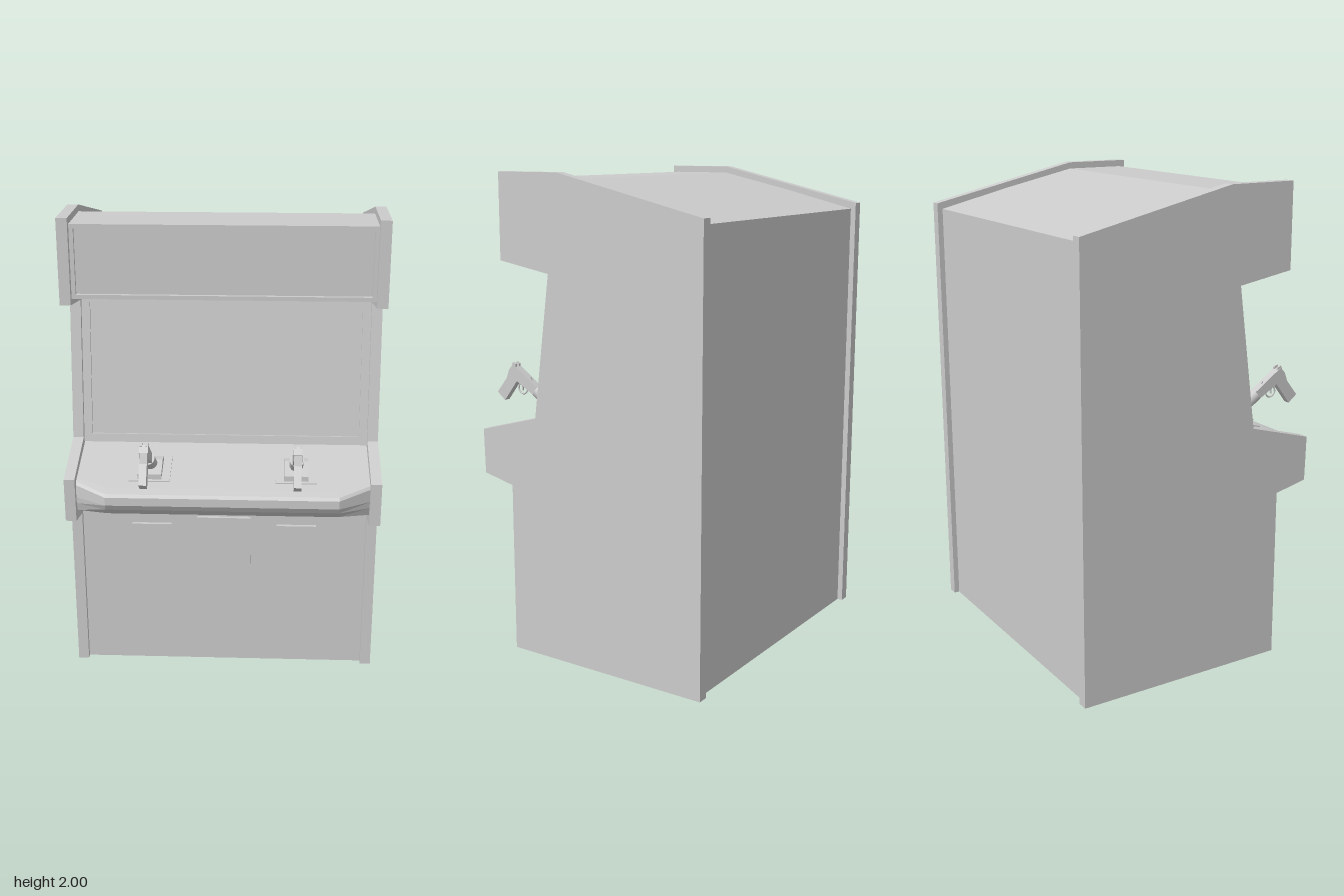
import * as THREE from 'three';

const grey = new THREE.MeshStandardMaterial({ color: 0xcccccc, side: THREE.DoubleSide, flatShading: true });
const smooth = new THREE.MeshStandardMaterial({ color: 0xcccccc });

const named = (name, geometry, material = grey) => {
  const mesh = new THREE.Mesh(geometry, material);
  mesh.name = name;
  return mesh;
};

const polygon = (points) => new THREE.Shape(points.map(([a, b]) => new THREE.Vector2(a, b)));

// Solid with a [z, y] profile, extruded across x and centred on cx
function prism(points, width, cx = 0) {
  const geo = new THREE.ExtrudeGeometry(polygon(points), { depth: width, bevelEnabled: false });
  return geo.translate(0, 0, -width / 2).rotateY(-Math.PI / 2).translate(cx, 0, 0);
}

// Open skin through cross-sections: each section is { x, profile: [[z, y], ...] }
function skin(sections) {
  const pos = [], index = [], n = sections[0].profile.length;
  for (const { x, profile } of sections) for (const [z, y] of profile) pos.push(x, y, z);
  for (let s = 0; s < sections.length - 1; s++) {
    for (let i = 0; i < n - 1; i++) {
      const a = s * n + i, b = a + n;
      index.push(a, a + 1, b, b, a + 1, b + 1);
    }
  }
  const geo = new THREE.BufferGeometry();
  geo.setAttribute('position', new THREE.Float32BufferAttribute(pos, 3));
  geo.setIndex(index);
  geo.computeVertexNormals();
  return geo;
}

// Rectangular border facing +z
function frame(w, h, border, depth) {
  const rect = (x, y) => [[-x, -y], [x, -y], [x, y], [-x, y]];
  const shape = polygon(rect(w / 2, h / 2));
  shape.holes.push(polygon(rect(w / 2 - border, h / 2 - border)));
  return new THREE.ExtrudeGeometry(shape, { depth, bevelEnabled: false });
}

// Light gun with its mount, modelled around x = 0
function createGun() {
  const gun = new THREE.Group();
  gun.name = 'lightGun';
  gun.add(named('mountPlate', prism([[0.39, 0.9], [0.39, 0.925], [0.22, 0.973], [0.22, 0.945]], 0.17)));
  gun.add(named('mountBlock', prism([[0.38, 0.91], [0.38, 0.95], [0.3, 0.985], [0.25, 0.98], [0.25, 0.94]], 0.1)));

  // Holder tube sloping down into the panel
  const from = new THREE.Vector3(0, 1.042, 0.425), to = new THREE.Vector3(0, 0.93, 0.25);
  const tube = named('holderTube', new THREE.CylinderGeometry(0.029, 0.029, from.distanceTo(to), 16), smooth);
  tube.position.copy(from).lerp(to, 0.5);
  tube.quaternion.setFromUnitVectors(new THREE.Vector3(0, 1, 0), from.clone().sub(to).normalize());
  gun.add(tube);

  gun.add(named('slide', prism([[0.55, 1.15], [0.573, 1.125], [0.56, 1.095], [0.43, 1.02], [0.41, 1.055]], 0.036)));
  gun.add(named('grip', prism([[0.575, 1.125], [0.525, 1.085], [0.555, 1.045], [0.603, 0.982], [0.645, 1.015], [0.59, 1.085]], 0.03)));
  const guard = named('triggerGuard', new THREE.TorusGeometry(0.025, 0.004, 6, 16), smooth);
  guard.position.set(0, 1.045, 0.508);
  guard.rotation.y = Math.PI / 2;
  gun.add(guard);
  gun.add(named('trigger', prism([[0.515, 1.07], [0.508, 1.065], [0.507, 1.035], [0.512, 1.035]], 0.008)));
  for (const x of [-0.012, 0.012]) {
    gun.add(named('rearSight', prism([[0.535, 1.13], [0.558, 1.145], [0.55, 1.16], [0.535, 1.152]], 0.01, x)));
  }
  gun.add(named('frontSight', prism([[0.45, 1.075], [0.465, 1.085], [0.462, 1.1]], 0.008)));
  return gun;
}

export function createModel() {
  const model = new THREE.Group();
  model.name = 'arcadeCabinet';

  // Side panels
  const side = [
    [0.28, 0], [0.28, 0.72], [0.425, 0.752], [0.43, 0.94], [0.15, 1.02], [0.07, 1.61],
    [0.312, 1.65], [0.312, 2], [0.02, 2], [-0.643, 1.85], [-0.643, 0],
  ];
  for (const s of [-1, 1]) {
    model.add(named(s > 0 ? 'leftSidePanel' : 'rightSidePanel', prism(side, 0.045, s * 0.6325)));
  }

  // Upper shell: screen, marquee, roof and back
  const upper = [
    [0.12, 0.99], [0.035, 1.632], [0.268, 1.67], [0.268, 1.972],
    [0.02, 1.972], [-0.3, 1.902], [-0.62, 1.825], [-0.62, 0],
  ];
  const across = (profile) => skin([-0.612, 0.612].map((x) => ({ x, profile })));
  model.add(named('upperShell', across(upper)));

  // Lower front, open underneath
  model.add(named('lowerFront', across([[0.255, 0], [0.255, 0.77]])));

  // Control panel, bowed out between chamfered ends
  const middle = [[0.12, 0.99], [0.43, 0.91], [0.47, 0.897], [0.48, 0.885], [0.48, 0.85], [0.465, 0.825], [0.425, 0.79], [0.255, 0.757]];
  const end = [[0.12, 0.99], [0.37, 0.925], [0.39, 0.918], [0.4, 0.905], [0.4, 0.85], [0.395, 0.82], [0.38, 0.782], [0.255, 0.757]];
  model.add(named('controlPanel', skin([
    { x: -0.612, profile: end }, { x: -0.48, profile: middle },
    { x: 0.48, profile: middle }, { x: 0.612, profile: end },
  ])));

  // Marquee border
  const marquee = named('marqueeFrame', frame(1.22, 0.302, 0.017, 0.017));
  marquee.position.set(0, 1.821, 0.268);
  model.add(marquee);

  // Screen border, leaning back with the glass
  const screen = named('screenBezel', frame(1.22, 0.64, 0.035, 0.012));
  screen.position.set(0, 1.311, 0.0775);
  screen.rotation.x = -Math.atan2(0.085, 0.642);
  model.add(screen);

  // Coin door
  const door = named('coinDoor', new THREE.BoxGeometry(0.23, 0.305, 0.02));
  door.position.set(0, 0.552, 0.262);
  model.add(door);

  // Guns and the triangular pouches below them
  const triangle = polygon([[-0.085, 0.67], [0, 0.525], [0.085, 0.67]]);
  for (const s of [-1, 1]) {
    const gun = createGun();
    gun.position.x = s * 0.305;
    model.add(gun);
    const pouch = named('trianglePlate', new THREE.ExtrudeGeometry(triangle, { depth: 0.018, bevelEnabled: false }));
    pouch.position.set(s * 0.312, 0, 0.253);
    model.add(pouch);
  }
  return model;
}
